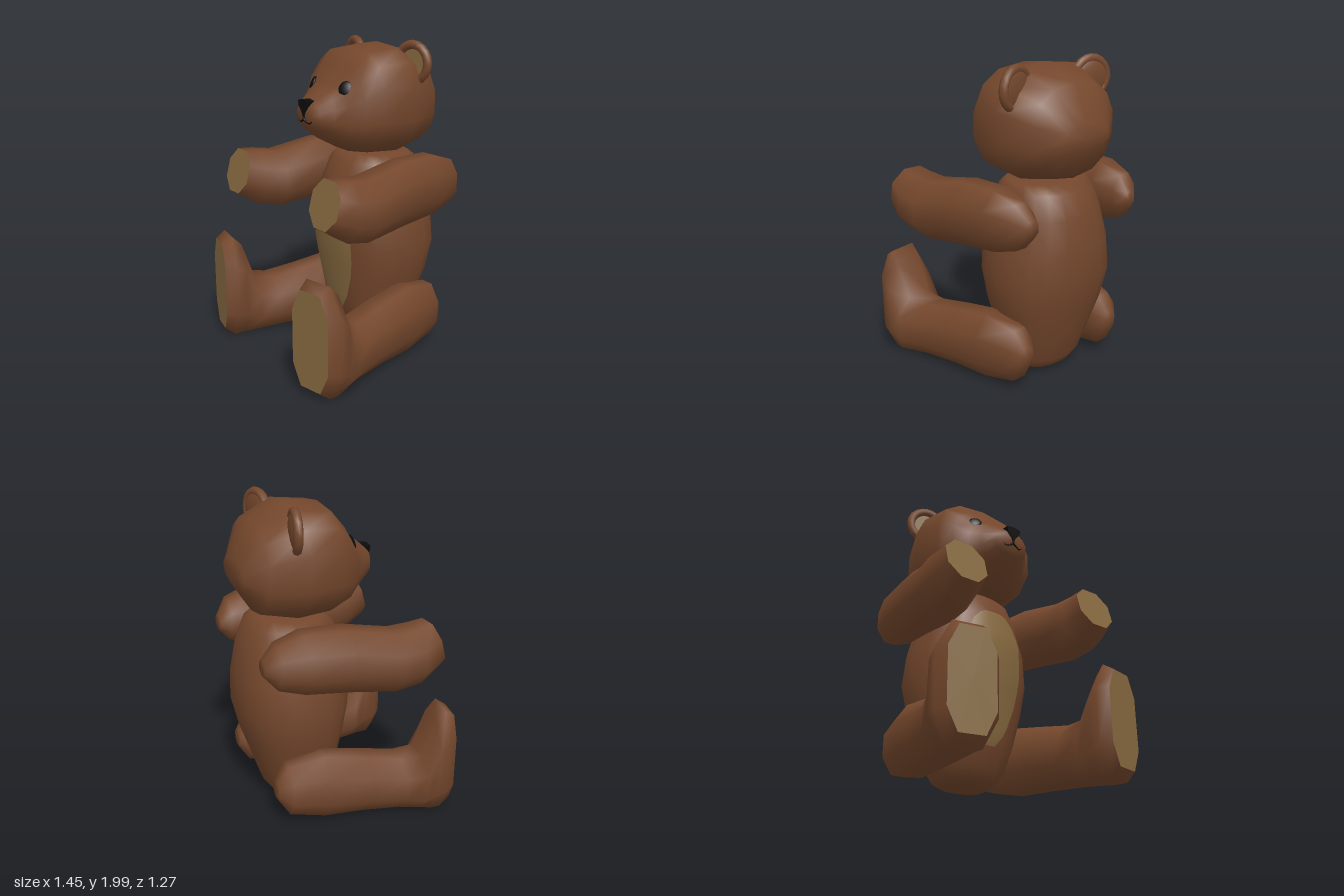
import * as THREE from 'three';

const mat = (color) => new THREE.MeshStandardMaterial({ color });
const fur = mat(0x74472c);
const felt = mat(0x86693f);
const black = mat(0x0c0c0c);
black.side = felt.side = THREE.DoubleSide;

function add(parent, name, geometry, material) {
  const mesh = new THREE.Mesh(geometry, material);
  mesh.name = name;
  parent.add(mesh);
  return mesh;
}

// Rounded ring from a row: [z, centre x, low y, high y, half width, squareness, skew by x, skew by y]
function ring([z, x, lo, hi, w, k = 2, skewX = 0, skewY = 0], sides, phase) {
  const pts = [];
  const power = (v) => Math.sign(v) * Math.abs(v) ** (2 / k);
  const fit = power(Math.cos(phase));
  for (let i = 0; i < sides; i++) {
    const a = phase + (i / sides) * Math.PI * 2;
    const dx = (w * power(Math.cos(a))) / fit;
    const dy = ((hi - lo) / 2) * power(Math.sin(a)) / fit;
    pts.push(new THREE.Vector3(x + dx, (lo + hi) / 2 + dy, z + skewX * dx + skewY * dy));
  }
  return pts;
}

function build(points, index) {
  const g = new THREE.BufferGeometry().setFromPoints(points);
  g.setIndex(index);
  g.computeVertexNormals();
  return g;
}

const middle = (pts) => pts.reduce((s, p) => s.add(p), new THREE.Vector3()).divideScalar(pts.length);

// Skin over rings running towards +z; the far end may stay open for a pad
function loft(rows, sides, phase = 0, closeEnd = true) {
  const rings = rows.map((r) => ring(r, sides, phase));
  const points = rings.flat();
  const index = [];
  const first = points.length;
  points.push(middle(rings[0]), middle(rings[rings.length - 1]));
  const top = (rings.length - 1) * sides;
  for (let j = 0; j < sides; j++) {
    const n = (j + 1) % sides;
    for (let i = 0; i < rings.length - 1; i++) {
      const a = i * sides + j, b = i * sides + n;
      index.push(a, b, a + sides, b, b + sides, a + sides);
    }
    index.push(first, n, j);
    if (closeEnd) index.push(first + 1, top + j, top + n);
  }
  return build(points, index);
}

// Flat pad closing a limb
function pad(row, sides, phase) {
  const pts = ring(row, sides, phase);
  const index = [];
  for (let j = 0; j < sides; j++) index.push(sides, j, (j + 1) % sides);
  return build([...pts, middle(pts)], index);
}

// Torso rows: y, half width, front z, back z
const torsoRows = [
  [0.02, 0.14, -0.16, -0.36], [0.05, 0.2, -0.1, -0.41], [0.12, 0.245, -0.03, -0.46],
  [0.3, 0.3, 0.03, -0.52], [0.5, 0.365, 0.06, -0.585], [0.7, 0.4, 0.09, -0.63],
  [0.9, 0.375, 0.1, -0.625], [1.1, 0.32, 0.06, -0.59], [1.24, 0.285, 0, -0.53],
  [1.29, 0.25, -0.06, -0.46],
];
const TORSO_K = 2.3;

// Front surface of the torso at x, y
function bellyZ(x, y) {
  const i = torsoRows.findIndex((r) => r[0] > y);
  const a = torsoRows[i - 1], b = torsoRows[i];
  const t = (y - a[0]) / (b[0] - a[0]);
  const [, w, f, k] = a.map((v, n) => v + (b[n] - v) * t);
  return (f + k) / 2 + ((f - k) / 2) * (1 - (Math.abs(x) / w) ** TORSO_K) ** (1 / TORSO_K);
}

function bellyPatch() {
  const rows = [[0.24, 0.04], [0.3, 0.085], [0.36, 0.12], [0.5, 0.17], [0.6, 0.19], [0.7, 0.2], [0.8, 0.2],
    [0.9, 0.195], [0.97, 0.185], [1.05, 0.15], [1.1, 0.1], [1.12, 0.06]];
  const cols = 8, points = [], index = [];
  rows.forEach(([y, w], i) => {
    for (let j = 0; j <= cols; j++) {
      const x = w * ((2 * j) / cols - 1);
      points.push(new THREE.Vector3(x, y, bellyZ(x, y) + 0.006));
      if (i && j) {
        const d = i * (cols + 1) + j, b = d - cols - 1;
        index.push(b - 1, b, d - 1, b, d, d - 1);
      }
    }
  });
  return build(points, index);
}

function limb(parent, name, padName, rows, s) {
  const group = new THREE.Group();
  group.name = name;
  const own = rows.map((r) => r.map((v, i) => (i === 1 || i === 6 ? v * s : v)));
  add(group, name + 'Body', loft(own, 8, Math.PI / 8, false), fur);
  add(group, padName, pad(own[own.length - 1], 8, Math.PI / 8), felt);
  parent.add(group);
}

const armRows = [
  [-0.59, 0.4, 1.07, 1.17, 0.05], [-0.52, 0.425, 0.99, 1.265, 0.1], [-0.36, 0.435, 0.945, 1.315, 0.14],
  [-0.1, 0.46, 0.92, 1.31, 0.155], [0.2, 0.49, 0.88, 1.25, 0.175],
  [0.34, 0.515, 0.91, 1.265, 0.165, 2, 0, -0.12], [0.468, 0.507, 1.0, 1.275, 0.138, 2.1, 0, -0.26],
];
const legRows = [
  [-0.51, 0.36, 0.2, 0.32, 0.05], [-0.44, 0.365, 0.09, 0.43, 0.11], [-0.22, 0.39, 0.04, 0.468, 0.145],
  [0.05, 0.43, 0.03, 0.42, 0.155], [0.27, 0.48, 0.02, 0.382, 0.165], [0.4, 0.52, 0.012, 0.4, 0.175, 2.2, -0.08],
  [0.475, 0.545, 0.01, 0.64, 0.182, 2.4, -0.15], [0.54, 0.545, 0.01, 0.705, 0.182, 2.5, -0.2],
  [0.605, 0.555, 0.06, 0.66, 0.138, 3, -0.22],
];
const headRows = [
  [-0.6, 0, 1.49, 1.66, 0.18], [-0.5, 0, 1.33, 1.88, 0.32, 2.3], [-0.28, 0, 1.29, 1.97, 0.4, 2.6],
  [-0.06, 0, 1.3, 1.945, 0.37, 2.6], [0.04, 0, 1.34, 1.83, 0.315, 2.6], [0.1, 0, 1.37, 1.745, 0.24, 2.5],
  [0.17, 0, 1.41, 1.7, 0.18, 2.2], [0.24, 0, 1.46, 1.645, 0.13], [0.27, 0, 1.505, 1.62, 0.075],
];

function ear(parent, s) {
  const group = new THREE.Group();
  group.name = s > 0 ? 'leftEar' : 'rightEar';
  group.position.set(s * 0.295, 1.86, -0.33);
  group.rotation.y = s * 0.23;
  add(group, 'earRim', new THREE.TorusGeometry(0.112, 0.028, 8, 20), fur);
  const back = new THREE.SphereGeometry(0.125, 16, 5, 0, Math.PI * 2, 0, Math.PI / 2);
  add(group, 'earBack', back.rotateX(-Math.PI / 2).scale(1, 1, 0.3), fur);
  add(group, 'earLining', new THREE.CircleGeometry(0.11, 20), felt);
  parent.add(group);
}

export function createModel() {
  const bear = new THREE.Group();
  bear.name = 'teddyBear';

  // Torso, lofted upwards
  const upright = torsoRows.map(([y, w, f, b]) => [y, 0, -f, -b, w, TORSO_K]);
  add(bear, 'torso', loft(upright, 20).rotateX(-Math.PI / 2), fur);
  add(bear, 'bellyPatch', bellyPatch(), felt);

  // Head with snout
  add(bear, 'head', loft(headRows, 14, Math.PI / 14), fur);
  const shield = new THREE.Shape([[-0.055, 1.645], [-0.045, 1.605], [-0.015, 1.575], [0, 1.54], [0.015, 1.575],
    [0.045, 1.605], [0.055, 1.645], [0, 1.655]].map(([x, y]) => new THREE.Vector2(x, y)));
  const nose = new THREE.ExtrudeGeometry(shield, { depth: 0.055, bevelEnabled: false });
  add(bear, 'nose', nose.translate(0, 0, 0.225), black);

  for (const s of [1, -1]) {
    const side = s > 0 ? 'left' : 'right';
    // Eye, flattened against the face
    const eye = add(bear, side + 'Eye', new THREE.SphereGeometry(0.046, 14, 10).scale(1, 1.05, 0.35), black);
    eye.position.set(s * 0.177, 1.72, 0.088);
    eye.lookAt(s * 0.6, 2.05, 0.75);
    // Mouth stitch
    const path = new THREE.CatmullRomCurve3([[0, 1.56, 0.273], [0, 1.535, 0.273], [0.025, 1.517, 0.27],
      [0.05, 1.512, 0.262], [0.073, 1.527, 0.258]].map(([x, y, z]) => new THREE.Vector3(s * x, y, z)));
    add(bear, side + 'Mouth', new THREE.TubeGeometry(path, 14, 0.007, 6), black);
    // Ear, arm and leg
    ear(bear, s);
    limb(bear, side + 'Arm', 'pawPad', armRows, s);
    limb(bear, side + 'Leg', 'solePad', legRows, s);
  }
  return bear;
}
